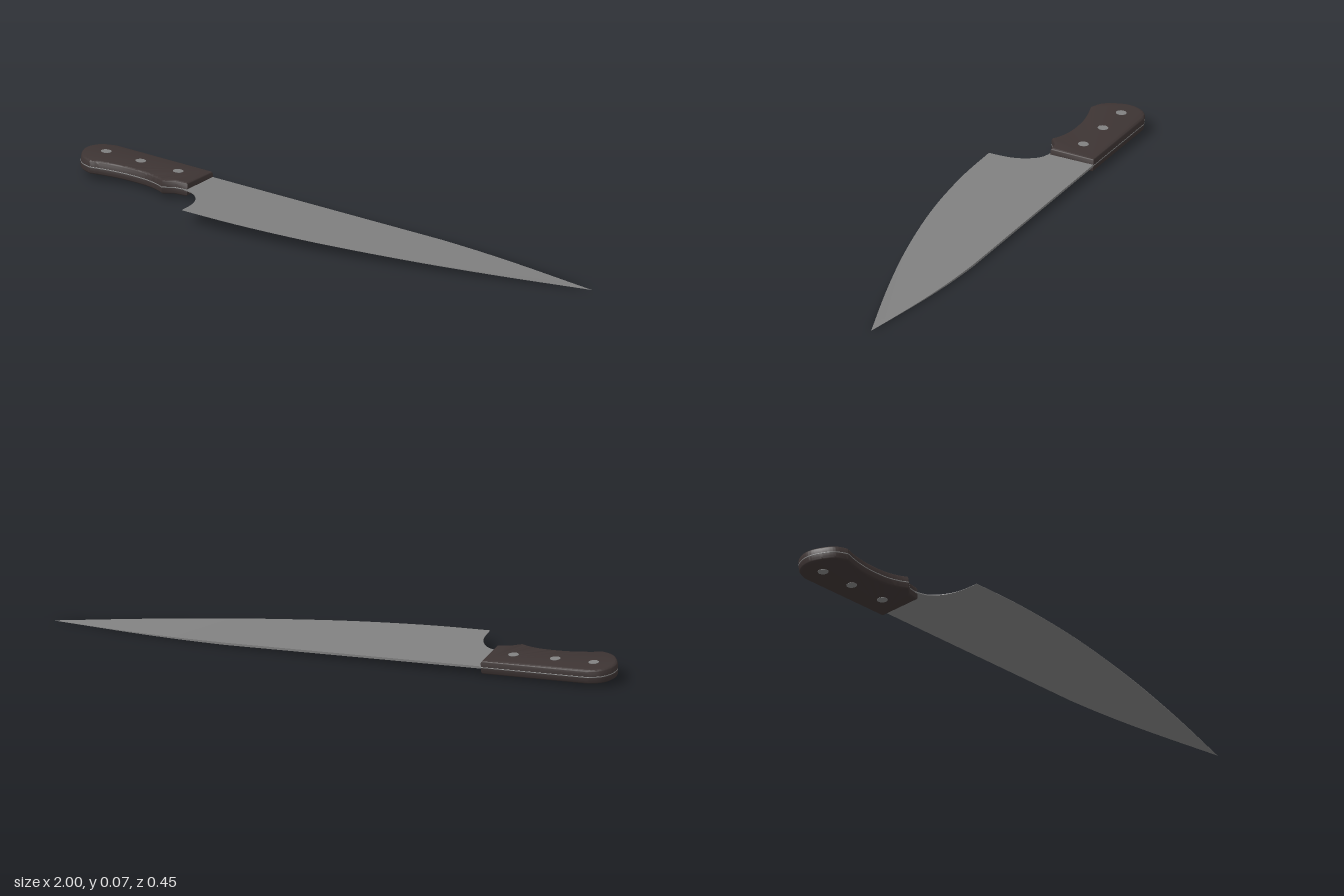
import * as THREE from 'three';
import { toCreasedNormals } from 'three/addons/utils/BufferGeometryUtils.js';

const v = ([x, z]) => new THREE.Vector2(x, z);

// Extrudes an x/z outline into a slab centred on y = 0
function slab(shape, thickness, bevel = 0, offset = 0) {
  const depth = thickness - 2 * bevel;
  const geo = new THREE.ExtrudeGeometry(shape, {
    depth, curveSegments: 8, bevelEnabled: bevel > 0, bevelThickness: bevel,
    bevelSize: bevel, bevelOffset: offset, bevelSegments: 4,
  });
  return geo.translate(0, 0, -depth / 2).rotateX(Math.PI / 2);
}

function handleOutline() {
  const s = new THREE.Shape();
  s.moveTo(-0.537, -0.171);
  s.lineTo(-0.917, -0.229);
  // rounded butt, then the finger grip
  s.splineThru([[-0.962, -0.216], [-0.99, -0.185], [-1.0, -0.145], [-0.99, -0.1], [-0.968, -0.06], [-0.93, -0.036]].map(v));
  s.splineThru([[-0.87, -0.043], [-0.8, -0.043], [-0.72, -0.03], [-0.67, -0.01], [-0.642, 0.009]].map(v));
  // small finger stop
  s.lineTo(-0.603, -0.012);
  s.lineTo(-0.558, -0.013);
  s.closePath();
  return s;
}

function bladeOutline() {
  const s = new THREE.Shape();
  s.moveTo(-0.56, -0.174);
  s.lineTo(0.37, -0.036);
  s.splineThru([[0.52, -0.006], [0.68, 0.033], [0.84, 0.078], [0.998, 0.125]].map(v)); // spine to tip
  s.splineThru([[0.67, 0.173], [0.35, 0.207], [0.03, 0.221], [-0.26, 0.209], [-0.488, 0.18]].map(v)); // cutting edge
  s.splineThru([[-0.484, 0.105], [-0.498, 0.05], [-0.528, 0.008], [-0.575, -0.013]].map(v)); // heel
  s.closePath();
  return s;
}

export function createModel() {
  const steel = new THREE.MeshStandardMaterial({ color: 0x808080 });
  steel.name = 'blade steel';
  const wood = new THREE.MeshStandardMaterial({ color: 0x3d3433 });
  wood.name = 'dark handle';

  const model = new THREE.Group();
  model.name = 'kitchenKnife';
  const knife = new THREE.Group();
  knife.name = 'knife';
  model.add(knife);
  const add = (name, geo, mat) => {
    const mesh = new THREE.Mesh(geo, mat);
    mesh.name = name;
    knife.add(mesh);
    return mesh;
  };

  // Blade: thick at the spine, thin at the cutting edge and tip
  const blade = slab(bladeOutline(), 2);
  const p = blade.attributes.position;
  for (let i = 0; i < p.count; i++) {
    const x = p.getX(i), z = p.getZ(i);
    const spine = -0.09 + 0.148 * x;
    const t = THREE.MathUtils.clamp((z - spine) / 0.28, 0, 1);
    const taper = THREE.MathUtils.clamp((1 - x) / 0.6, 0.1, 1);
    p.setY(i, Math.sign(p.getY(i)) * THREE.MathUtils.lerp(0.004, 0.0006, t) * taper);
  }
  add('blade', toCreasedNormals(blade, 0.5), steel);

  // Handle with rounded edges, and the tang showing along its seam
  const outline = handleOutline();
  add('handle', toCreasedNormals(slab(outline, 0.05, 0.011, -0.011), 0.6), wood);
  add('tang', slab(outline, 0.004, 0.001, -0.0005), steel);

  // Rivets through the handle
  for (const [x, z] of [[-0.92, -0.147], [-0.783, -0.126], [-0.635, -0.104]]) {
    add('rivet', new THREE.CylinderGeometry(0.018, 0.018, 0.052, 20), steel).position.set(x, 0, z);
  }

  // The knife rests on its tip and handle, so it lies slightly tilted
  knife.quaternion.setFromUnitVectors(
    new THREE.Vector3(0, 1, 0), new THREE.Vector3(0.0316, 1, -0.07).normalize());
  knife.position.y = 0.0236;
  return model;
}
